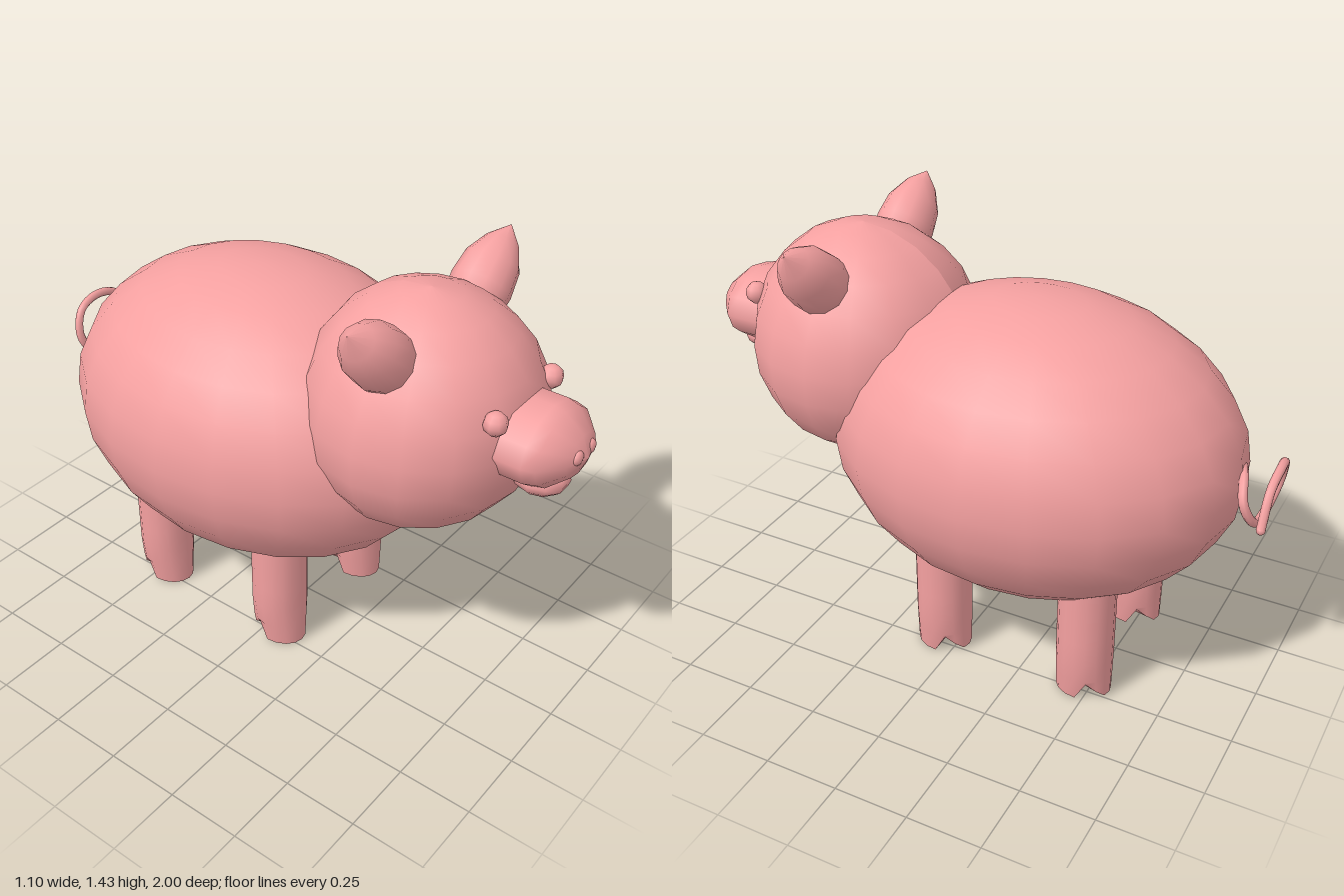
import * as THREE from 'three';

const pink = new THREE.MeshStandardMaterial({ color: 0xf4a0a0 });

function add(parent, name, geometry, x = 0, y = 0, z = 0) {
  const mesh = new THREE.Mesh(geometry, pink);
  mesh.name = name;
  mesh.position.set(x, y, z);
  parent.add(mesh);
  return mesh;
}

function ellipsoid(rx, ry, rz, w = 16, h = 12) {
  return new THREE.SphereGeometry(1, w, h).scale(rx, ry, rz);
}

// Moves every vertex by a rule, then refreshes the normals
function deform(geometry, rule) {
  const p = geometry.attributes.position;
  const v = new THREE.Vector3();
  for (let i = 0; i < p.count; i++) {
    rule(v.fromBufferAttribute(p, i));
    p.setXYZ(i, v.x, v.y, v.z);
  }
  geometry.computeVertexNormals();
  return geometry;
}

function lathe(points, segments) {
  return new THREE.LatheGeometry(points.map(([r, y]) => new THREE.Vector2(r, y)), segments);
}

// Round head that widens towards the jowls
function headGeometry() {
  const g = ellipsoid(0.385, 0.388, 0.38, 16, 12).rotateY(-Math.PI / 2);
  return deform(g, v => { v.x *= 1.015 - 0.28 * v.y; });
}

// Leg with a narrowed hoof and a notch between toe and heel
function legGeometry() {
  const r = 0.095, height = 0.56;
  const g = new THREE.CylinderGeometry(r, r, height, 16, 7).rotateY(Math.PI).translate(0, height / 2, 0);
  return deform(g, v => {
    if (v.y < 0.01) {
      if (v.z < -0.08) v.y = 0.01;
      else if (v.z < -0.05) v.y = 0.035;
      else if (v.z < -0.02) v.y = 0.065;
    }
    if (v.y < 0.07) v.x *= 0.78;
    else if (v.y < 0.1) v.x *= 0.9;
  });
}

export function createModel() {
  const pig = new THREE.Group();
  pig.name = 'pig';

  add(pig, 'body', ellipsoid(0.55, 0.5, 0.7, 20, 14), 0, 0.765, -0.18);
  add(pig, 'head', headGeometry(), 0, 1.005, 0.45);

  // Snout: rounded plug pointing forward
  const snout = lathe([[1, 0], [1, 0.22], [0.93, 0.26], [0.52, 0.32], [0, 0.345]], 12);
  snout.rotateX(Math.PI / 2).scale(0.17, 0.125, 1);
  add(pig, 'snout', snout, 0, 1.03, 0.655);
  add(pig, 'lowerJaw', ellipsoid(0.085, 0.055, 0.09, 10, 8), 0, 0.91, 0.86);

  const earProfile = [[0.06, -0.07], [0.095, -0.02], [0.1, 0.04], [0.09, 0.12], [0.055, 0.19], [0, 0.25]];
  const up = new THREE.Vector3(0, 1, 0);

  for (const side of [1, -1]) {
    const label = side > 0 ? 'left' : 'right';
    add(pig, label + 'Eye', ellipsoid(0.038, 0.038, 0.038, 8, 6), side * 0.157, 1.138, 0.78);
    add(pig, label + 'Nostril', ellipsoid(0.024, 0.024, 0.015, 8, 6), side * 0.037, 1.042, 0.983);

    // Teardrop ear leaning outwards
    const ear = add(pig, label + 'Ear', lathe(earProfile, 12), side * 0.24, 1.26, 0.458);
    ear.quaternion.setFromUnitVectors(up, new THREE.Vector3(side * 0.74, 0.67, 0).normalize());

    add(pig, label + 'FrontLeg', legGeometry(), side * 0.222, 0, 0.05);
    add(pig, label + 'BackLeg', legGeometry(), side * 0.222, 0, -0.475);
  }

  // Curly tail
  const path = new THREE.CatmullRomCurve3([
    [-0.08, 0.8, -0.85], [0, 0.82, -0.875], [0.065, 0.76, -0.9], [0.03, 0.68, -0.93],
    [-0.05, 0.68, -0.94], [-0.105, 0.76, -0.96], [-0.08, 0.85, -0.975],
    [0, 0.877, -0.985], [0.1, 0.85, -0.985], [0.16, 0.75, -0.985],
  ].map(p => new THREE.Vector3(...p)));
  add(pig, 'tail', new THREE.TubeGeometry(path, 40, 0.015, 8));
  add(pig, 'tailTip', ellipsoid(0.015, 0.015, 0.015, 8, 6), 0.16, 0.75, -0.985);

  return pig;
}
